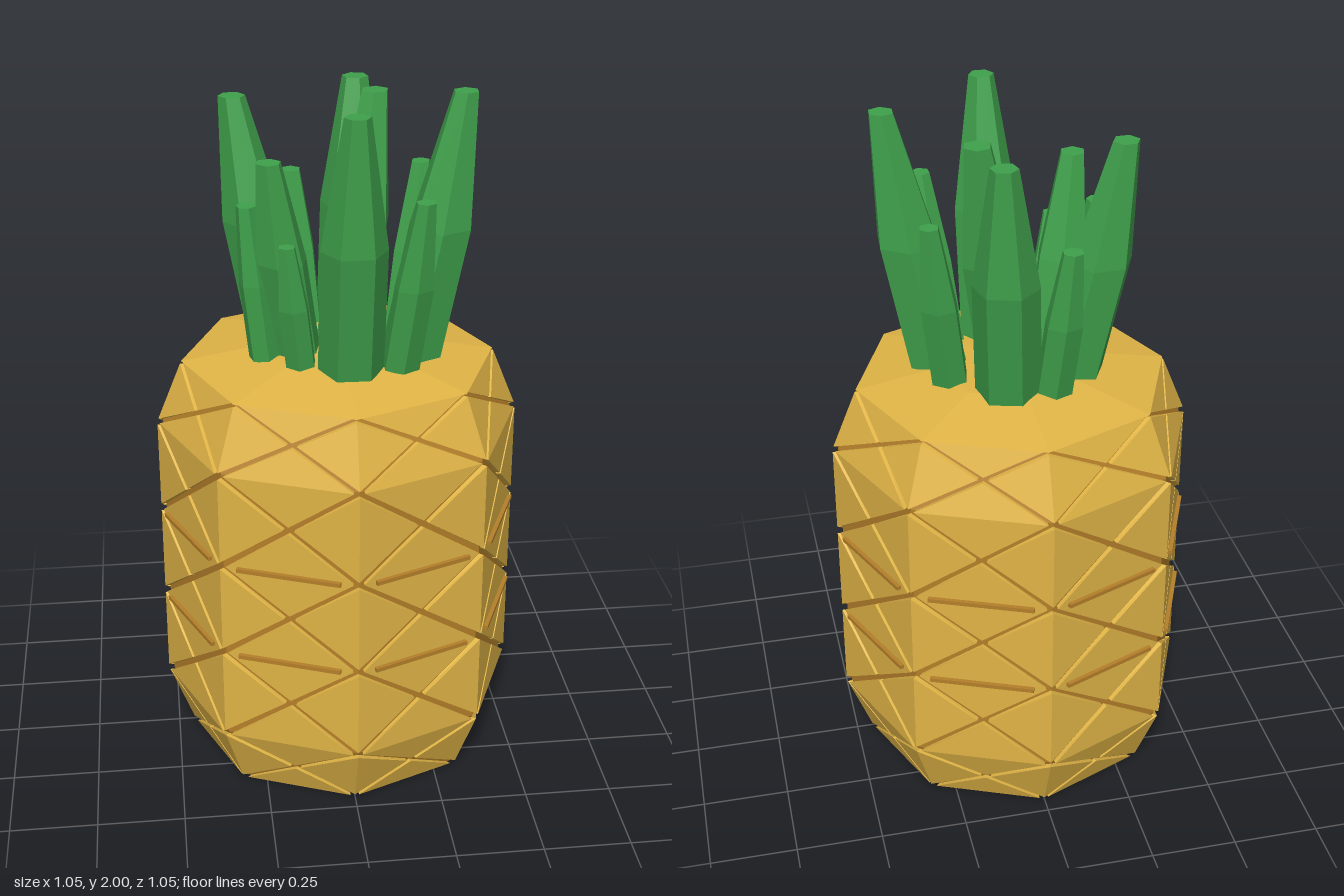
import * as THREE from 'three';

const rind = new THREE.MeshStandardMaterial({ color: 0xe0b446, flatShading: true });
const groove = new THREE.MeshStandardMaterial({ color: 0xb57f2a, flatShading: true });
const leafGreen = new THREE.MeshStandardMaterial({ color: 0x3fa04b, flatShading: true });

// Fruit rings: [radius, height]
const RINGS = [[0.45, 0], [0.525, 0.195], [0.525, 0.475], [0.525, 0.755], [0.525, 1.035], [0.45, 1.22]];
const SIDES = 8, GAP = 0.04, INSET = 0.97;

function add(parent, name, geometry, material) {
  const mesh = new THREE.Mesh(geometry, material);
  mesh.name = name;
  parent.add(mesh);
  return mesh;
}

function lathe(points) {
  return new THREE.LatheGeometry(points.map(([r, y]) => new THREE.Vector2(r, y)), SIDES);
}

function ringPoint(ring, side) {
  const a = (side / SIDES) * Math.PI * 2;
  return new THREE.Vector3(Math.sin(a) * RINGS[ring][0], RINGS[ring][1], Math.cos(a) * RINGS[ring][0]);
}

// Every panel is cut by an X of grooves into four raised triangles
function tileGeometry() {
  const positions = [];
  const tri = (...pts) => pts.forEach((p) => positions.push(p.x, p.y, p.z));
  const sink = (p) => new THREE.Vector3(p.x * INSET, p.y, p.z * INSET);
  for (let ring = 0; ring < RINGS.length - 1; ring++) {
    for (let side = 0; side < SIDES; side++) {
      const corners = [ringPoint(ring, side), ringPoint(ring, side + 1),
        ringPoint(ring + 1, side + 1), ringPoint(ring + 1, side)];
      // crossing point of the diagonals
      const w = RINGS[ring][0] / (RINGS[ring][0] + RINGS[ring + 1][0]);
      const centre = corners[0].clone().lerp(corners[2], w);
      for (let i = 0; i < 4; i++) {
        const p = corners[i], q = corners[(i + 1) % 4];
        const mid = p.clone().lerp(q, 0.5);
        const t = [p, q, centre].map((v) => mid.clone().lerp(v, 1 - 2 * GAP));
        tri(...t);
        // walls along the two grooves
        for (const [a, b] of [[t[1], t[2]], [t[2], t[0]]]) {
          tri(a, sink(a), sink(b));
          tri(a, sink(b), b);
        }
      }
    }
  }
  const g = new THREE.BufferGeometry();
  g.setAttribute('position', new THREE.Float32BufferAttribute(positions, 3));
  g.computeVertexNormals();
  return g;
}

// Leaf: six-sided, leaning out quickly at first, then narrowing to a blunt tip
function leafGeometry(bx, bz, tx, tz, top, width, tip) {
  const g = new THREE.CylinderGeometry(1, 1, 1, 6, 2);
  const pos = g.attributes.position;
  const angle = Math.atan2(tz - bz, tx - bx);
  const c = Math.cos(angle), s = Math.sin(angle);
  const bottom = 1.25;
  for (let i = 0; i < pos.count; i++) {
    const t = pos.getY(i) + 0.5;
    const r = t > 0.9 ? tip : width;
    const lean = t < 0.1 ? 0 : t > 0.9 ? 1 : 0.55;
    const x = pos.getX(i) * r, z = pos.getZ(i) * r;
    pos.setXYZ(i, bx + (tx - bx) * lean + x * c - z * s,
      bottom + (top - bottom) * t, bz + (tz - bz) * lean + x * s + z * c);
  }
  g.computeVertexNormals();
  return g;
}

export function createModel() {
  const model = new THREE.Group();
  model.name = 'pineapple';

  // Fruit
  const fruit = new THREE.Group();
  fruit.name = 'fruit';
  model.add(fruit);
  add(fruit, 'grooveCore', lathe(RINGS.map(([r, y]) => [r * INSET, y])), groove);
  add(fruit, 'rindTiles', tileGeometry(), rind);
  add(fruit, 'fruitBottom', lathe([[0, 0], [0.45, 0]]), rind);
  add(fruit, 'fruitTop', lathe([[0.45, 1.22], [0.22, 1.26], [0, 1.27]]), rind);

  // Thin ridges across the middle of the panels
  const apothem = 0.525 * Math.cos(Math.PI / SIDES);
  for (const y of [0.475, 0.755]) {
    for (let i = 0; i < SIDES; i++) {
      const a = ((i + 0.5) / SIDES) * Math.PI * 2;
      const ridge = add(fruit, 'ridge', new THREE.BoxGeometry(0.3, 0.012, 0.03), groove);
      ridge.position.set(Math.sin(a) * (apothem - 0.003), y, Math.cos(a) * (apothem - 0.003));
      ridge.rotation.y = a;
    }
  }

  // Crown: base x, base z, tip x, tip z, tip height, half width, tip half width
  const crown = new THREE.Group();
  crown.name = 'crown';
  model.add(crown);
  const leaves = [
    [0.015, 0.19, 0.015, 0.32, 2.0, 0.092, 0.036],
    [0.2, 0.075, 0.335, 0.085, 2.0, 0.092, 0.036],
    [0.045, -0.16, 0.08, -0.275, 1.96, 0.092, 0.038],
    [-0.16, -0.07, -0.28, -0.13, 1.95, 0.09, 0.038],
    [0.015, 0.0, 0.115, -0.11, 1.96, 0.088, 0.04],
    [0.19, -0.06, 0.25, -0.125, 1.75, 0.055, 0.028],
    [-0.08, -0.18, -0.11, -0.25, 1.7, 0.055, 0.03],
    [-0.125, 0.04, -0.2, 0.12, 1.83, 0.075, 0.036],
    [-0.215, 0.07, -0.26, 0.08, 1.7, 0.045, 0.028],
    [-0.12, 0.15, -0.16, 0.2, 1.62, 0.045, 0.024],
    [0.155, 0.18, 0.205, 0.26, 1.75, 0.056, 0.028],
    [0.02, 0.06, 0.03, 0.14, 1.75, 0.06, 0.026],
  ];
  for (const leaf of leaves) add(crown, 'leaf', leafGeometry(...leaf), leafGreen);

  return model;
}
